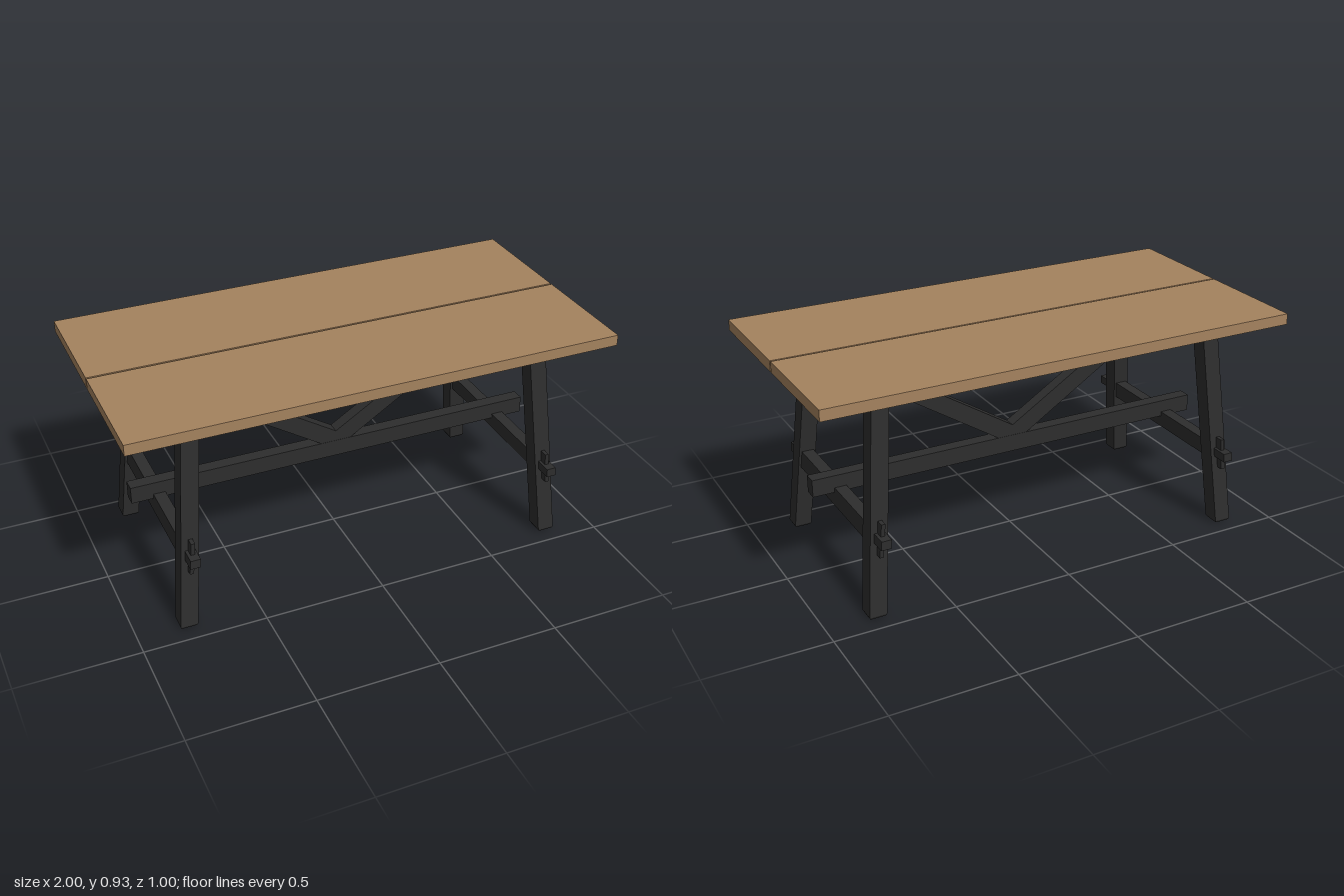
import * as THREE from 'three';

const TOP = 0.885; // underside of the table top

export function createModel() {
  const wood = new THREE.MeshStandardMaterial({ color: 0xa4825e });
  wood.name = 'oak brown';
  const black = new THREE.MeshStandardMaterial({ color: 0x2d2d2d });
  black.name = 'stained black';
  const metal = new THREE.MeshStandardMaterial({ color: 0x8c8c8c });
  metal.name = 'grey metal';

  const root = new THREE.Group();
  root.name = 'trestleTable';

  const add = (parent, name, geo, mat, x = 0, y = 0, z = 0) => {
    const mesh = new THREE.Mesh(geo, mat);
    mesh.name = name;
    mesh.position.set(x, y, z);
    parent.add(mesh);
    return mesh;
  };
  const box = (parent, name, mat, [x0, x1], [y0, y1], [z0, z1]) =>
    add(parent, name, new THREE.BoxGeometry(x1 - x0, y1 - y0, z1 - z0), mat,
      (x0 + x1) / 2, (y0 + y1) / 2, (z0 + z1) / 2);

  // Centre lines of the splayed legs at a given height
  const legX = (y) => 0.797 - 0.078 * (y / TOP);
  const legZ = (y) => 0.405 - 0.076 * (y / TOP);

  // Box that leans inward with the legs along x
  const leaning = (parent, name, width, [y0, y1], [z0, z1]) => {
    const geo = new THREE.BoxGeometry(width, y1 - y0, z1 - z0);
    geo.translate(0, (y0 + y1) / 2, (z0 + z1) / 2);
    const p = geo.attributes.position;
    for (let i = 0; i < p.count; i++) p.setX(i, p.getX(i) + legX(p.getY(i)));
    geo.computeVertexNormals();
    return add(parent, name, geo, black);
  };

  // Leg leaning in both directions, with a chamfered foot
  const legGeometry = (side) => {
    const geo = new THREE.BoxGeometry(0.071, 1, 0.072, 1, 2, 1).toNonIndexed();
    const p = geo.attributes.position;
    for (let i = 0; i < p.count; i++) {
      const row = p.getY(i);
      const y = row > 0.1 ? TOP : row > -0.1 ? 0.014 : 0.005;
      const s = row < -0.1 ? 0.86 : 1;
      p.setXYZ(i, p.getX(i) * s + legX(y), y, p.getZ(i) * s + side * legZ(y));
    }
    geo.computeVertexNormals();
    return geo;
  };

  // Table top: two planks with a narrow gap
  for (const s of [-1, 1]) {
    const inner = s * 0.004, outer = s * 0.5;
    box(root, 'topPlank', wood, [-1, 1], [TOP, 0.93],
      [Math.min(inner, outer), Math.max(inner, outer)]);
    // Stiffening strips set into the underside
    for (const x of [-0.81, 0, 0.81]) {
      const a = s * 0.045, b = s * 0.455;
      box(root, 'stiffeningStrip', metal, [x - 0.02, x + 0.02], [TOP - 0.003, TOP + 0.002],
        [Math.min(a, b), Math.max(a, b)]);
    }
  }

  // Two identical trestle ends
  const boltGeo = new THREE.CylinderGeometry(0.008, 0.008, 0.006, 12);
  for (const turn of [0, Math.PI]) {
    const end = new THREE.Group();
    end.name = 'trestleEnd';
    end.rotation.y = turn;
    root.add(end);

    leaning(end, 'topBeam', 0.066, [0.81, TOP - 0.001], [-0.32, 0.32]);
    leaning(end, 'lowerCrossbar', 0.05, [0.295, 0.367], [-0.37, 0.37]);
    leaning(end, 'throughTenon', 0.04, [0.314, 0.351], [-0.481, 0.481]);

    for (const s of [-1, 1]) {
      add(end, 'leg', legGeometry(s), black);
      box(end, 'footPad', metal, [legX(0) - 0.022, legX(0) + 0.022], [0, 0.006],
        [s * legZ(0) - 0.022, s * legZ(0) + 0.022]);
      // Key locking the tenon outside the leg
      leaning(end, 'tenonKey', 0.016, [0.263, 0.4], [s * 0.428 - 0.017, s * 0.428 + 0.017]);
    }

    // Bolts through the beam
    for (const z of [-0.22, -0.09, 0.09, 0.22])
      add(end, 'beamBolt', boltGeo, metal, legX(0.81), 0.809, z);
    const face = add(end, 'braceBolt', boltGeo, metal, legX(0.842) + 0.034, 0.842, 0);
    face.rotation.z = Math.PI / 2;
    for (const z of [-0.06, 0.06])
      add(end, 'crossbarBolt', boltGeo, metal, legX(0.295), 0.294, z);

    // Diagonal brace from the stretcher up to the beam
    const shape = new THREE.Shape([
      [0, 0.415], [0.06, 0.415], [0.71, 0.828], [0.71, TOP - 0.002], [0.668, TOP - 0.002], [0, 0.465],
    ].map(([x, y]) => new THREE.Vector2(x, y)));
    const brace = new THREE.ExtrudeGeometry(shape, { depth: 0.053, bevelEnabled: false });
    add(end, 'diagonalBrace', brace, black, 0, 0, -0.0265);
  }

  // Long stretcher joining the ends
  box(root, 'stretcher', black, [-0.88, 0.88], [0.347, 0.419], [-0.0275, 0.0275]);

  return root;
}
